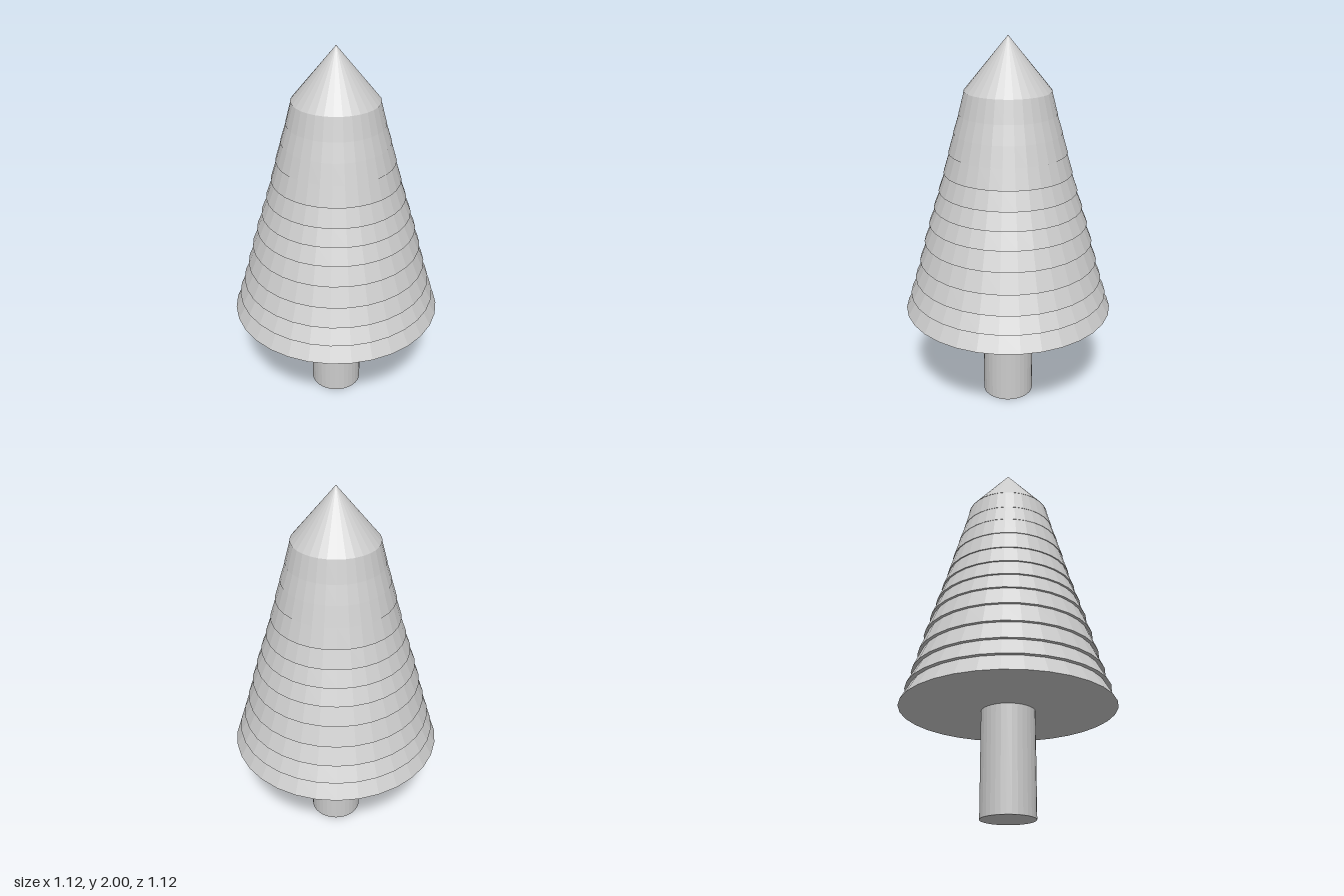
import * as THREE from 'three';

const SIDES = 32;
const material = new THREE.MeshStandardMaterial({ color: 0xcccccc, flatShading: true });

function addLathe(group, name, profile) {
  const points = profile.map(([r, y]) => new THREE.Vector2(r, y));
  const mesh = new THREE.Mesh(new THREE.LatheGeometry(points, SIDES), material);
  mesh.name = name;
  group.add(mesh);
}

export function createModel() {
  const group = new THREE.Group();
  group.name = 'tree';

  // Trunk
  addLathe(group, 'trunk', [[0, 0], [0.139, 0], [0.139, 0.545]]);

  // Stacked skirts of foliage: rim heights, with the rim radius shrinking evenly
  const rims = [0.55, 0.64, 0.73, 0.83, 0.937, 1.037, 1.127, 1.217, 1.313, 1.418, 1.52, 1.615, 1.73];
  const last = rims.length - 1;
  const radius = (i) => THREE.MathUtils.lerp(0.558, 0.223, i / last);

  // Shallow underside, then each skirt up to just inside the next rim
  const foliage = [[0, 0.54], [0.46, 0.54]];
  for (let i = 0; i < last; i++) {
    const overhang = Math.max(0.002, 0.023 * (1 - i / 10));
    foliage.push([radius(i), rims[i]], [radius(i + 1) - overhang, rims[i + 1]]);
  }
  addLathe(group, 'foliage', foliage);

  // Pointed top
  addLathe(group, 'treeTop', [[0.2, 1.73], [0.223, 1.73], [0, 2]]);

  return group;
}
